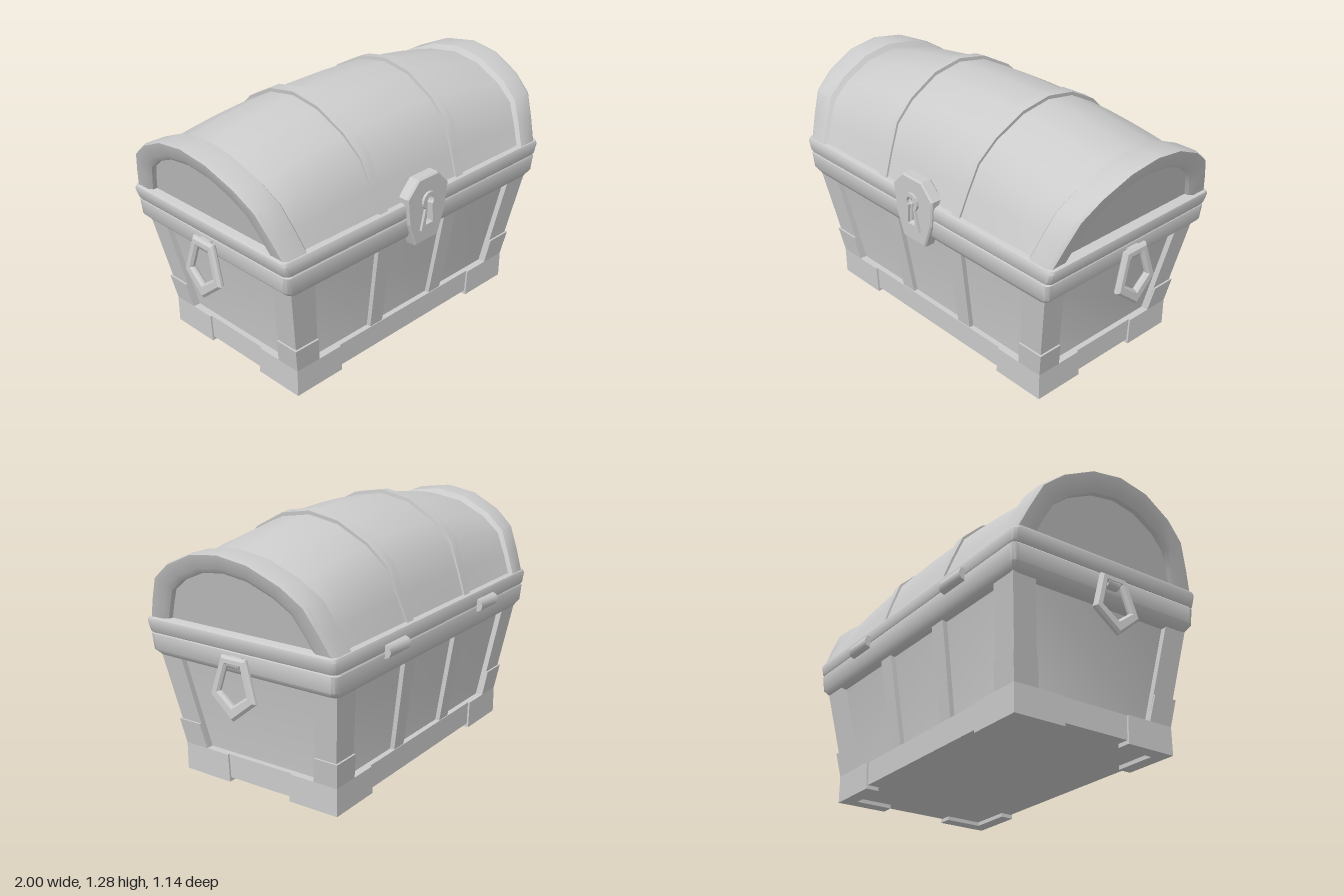
import * as THREE from 'three';
import { toCreasedNormals } from 'three/addons/utils/BufferGeometryUtils.js';

const material = new THREE.MeshStandardMaterial({ color: 0xcccccc });

function add(parent, name, geometry) {
  const mesh = new THREE.Mesh(geometry, material);
  mesh.name = name;
  parent.add(mesh);
  return mesh;
}

// Skin a list of equally long cross-sections
function loft(sections, closed) {
  const n = sections[0].length, pos = [], idx = [];
  sections.forEach(s => s.forEach(p => pos.push(...p)));
  for (let i = 0; i < sections.length - 1; i++) {
    for (let j = 0; j < (closed ? n : n - 1); j++) {
      const a = i * n + j, d = i * n + (j + 1) % n;
      idx.push(a, a + n, d + n, a, d + n, d);
    }
  }
  const g = new THREE.BufferGeometry();
  g.setAttribute('position', new THREE.Float32BufferAttribute(pos, 3));
  g.setIndex(idx);
  return toCreasedNormals(g, 0.75);
}

// Horizontal rounded rectangle at height y
function ring([y, hx, hz], radius) {
  const r = Math.min(radius, hx, hz), pts = [];
  [[1, 1], [-1, 1], [-1, -1], [1, -1]].forEach(([sx, sz], k) => {
    for (let m = 0; m < 4; m++) {
      const a = (k + m / 3) * Math.PI / 2;
      pts.push([sx * (hx - r) + r * Math.cos(a), y, sz * (hz - r) + r * Math.sin(a)]);
    }
  });
  return pts;
}

const rings = (list, radius) => loft(list.map(l => ring(l, radius)), true);
const shapeOf = pts => new THREE.Shape(pts.map(p => new THREE.Vector2(...p)));
const mirrored = half => [...half, ...half.filter(p => p[0] !== 0).reverse().map(([x, y]) => [-x, y])];

// Half width and half depth of the tapered body at height y
const halfX = y => 0.75 + 0.1875 * Math.max(0, y - 0.14);
const halfZ = y => 0.44 + 0.146 * Math.max(0, y - 0.14);

// Board lying on one sloping wall of the body
function board(parent, name, pts, half, out, thick, turn) {
  const g = new THREE.ExtrudeGeometry(shapeOf(pts), { depth: thick, bevelEnabled: false });
  const p = g.attributes.position;
  for (let i = 0; i < p.count; i++) p.setZ(i, p.getZ(i) - thick + half(p.getY(i)) + out);
  g.rotateY(turn);
  g.computeVertexNormals();
  add(parent, name, g);
}

function buildBody() {
  const body = new THREE.Group();
  body.name = 'body';
  const inset = 0.028;
  add(body, 'panels', rings([[0.02, 0, 0], ...[0.02, 0.14, 0.64].map(y => [y, halfX(y) - inset, halfZ(y) - inset])], 0.005));

  for (let w = 0; w < 4; w++) {
    const front = w % 2 === 0, turn = w * Math.PI / 2;
    const half = front ? halfZ : halfX, edge = front ? halfX : halfZ;
    const [foot, low, mid, top] = front ? [0.47, 0.62, 0.64, 0.70] : [0.18, 0.32, 0.34, 0.39];
    const e = edge(0);
    board(body, 'bottomRail', [[-e, 0.02], [e, 0.02], [e, 0.14], [-e, 0.14]], half, 0, 0.05, turn);
    for (const s of [-1, 1]) {
      const put = (name, pts, out, thick) =>
        board(body, name, pts.map(([u, y]) => [u * s, y]), half, out, thick, turn);
      put('cornerPost', [[low, 0.14], [edge(0.14), 0.14], [edge(0.64), 0.64], [top, 0.64]], 0, 0.05);
      put('foot', [[foot, 0], [e + 0.01, 0], [e + 0.01, 0.14], [foot + 0.008, 0.14]], 0.01, 0.07);
      put('footGuard', [[low, 0.14], [e + 0.01, 0.14], [edge(0.27) + 0.01, 0.27], [mid, 0.27]], 0.01, 0.05);
      if (front) put('rib', [[0.175, 0.14], [0.26, 0.14], [0.285, 0.64], [0.19, 0.64]], -0.004, 0.04);
    }
  }
  add(body, 'lowerRim', rings([[0.605, 0, 0], [0.605, 0.83, 0.495], [0.615, 0.85, 0.517], [0.645, 0.878, 0.535],
    [0.725, 0.885, 0.54], [0.732, 0.88, 0.535], [0.732, 0, 0]], 0.03));
  return body;
}

// Arched lid: profile of depth z and relative height, fanning outwards with height
const halfArch = [[0.515, 0], [0.47, 0.27], [0.415, 0.56], [0.316, 0.76], [0.16, 0.94], [0, 1]];
const arch = mirrored(halfArch);
arch.splice(0, arch.length, ...halfArch, ...halfArch.slice(0, -1).reverse().map(([z, t]) => [-z, t]));
const crown = s => 1.275 - 0.14 * s * s;

function lidSection([s, depth, height]) {
  return arch.map(([z, t]) => {
    const y = 0.8 + (height - 0.8) * t;
    return [s * (0.885 + 0.115 * (y - 0.8) / 0.4), y, z * depth];
  });
}

function buildLid() {
  const lid = new THREE.Group();
  lid.name = 'lid';
  const skin = [];
  for (let i = -6; i <= 6; i++) skin.push([i * 0.145, 1, crown(i * 0.145)]);
  add(lid, 'lidShell', loft(skin.map(lidSection), false));

  // Straps over the lid
  for (const c of [-0.305, 0.305]) {
    const a = c - 0.03, b = c + 0.03;
    add(lid, 'strap', loft([[a, 0.99, crown(a) - 0.01], [a, 1.02, crown(a) + 0.018],
      [b, 1.02, crown(b) + 0.018], [b, 0.99, crown(b) - 0.01]].map(lidSection), false));
  }

  // End arches with sunken panels
  const end = [[0.84, 0.99, 1.165], [0.86, 1.035, 1.2], [0.975, 1.035, 1.203], [1, 1.005, 1.198],
    [1, 0.86, 1.135], [0.985, 0.815, 1.11], [0.96, 0.81, 1.108], [0.96, 0, 0.8]];
  add(lid, 'endArch', loft(end.map(lidSection), false));
  add(lid, 'endArch', loft(end.map(([s, d, h]) => [-s, d, h]).reverse().map(lidSection), false));

  add(lid, 'upperRim', rings([[0.732, 0, 0], [0.732, 0.885, 0.535], [0.74, 0.89, 0.54], [0.79, 0.905, 0.542],
    [0.805, 0.902, 0.535], [0.812, 0.885, 0.515], [0.812, 0, 0]], 0.03));
  return lid;
}

// Round-headed keyhole outline
function keyhole(r, w, yTop, yBottom) {
  const pts = [[w, yBottom]];
  for (let i = 0; i <= 12; i++) {
    const a = -0.9 + i / 12 * (Math.PI + 1.8);
    pts.push([r * Math.cos(a), yTop + r * Math.sin(a)]);
  }
  pts.push([-w, yBottom]);
  return pts;
}

function buildLock() {
  const lock = new THREE.Group();
  lock.name = 'lock';
  const hole = keyhole(0.028, 0.026, 0.79, 0.67);
  const plate = shapeOf(mirrored([[0.075, 0.578], [0.122, 0.70], [0.138, 0.835], [0.065, 0.908]]));
  const surround = shapeOf(keyhole(0.047, 0.055, 0.79, 0.645));
  for (const s of [plate, surround]) s.holes.push(new THREE.Path(hole.map(p => new THREE.Vector2(...p))));
  const bevel = { bevelThickness: 0.008, bevelSize: 0.007, bevelOffset: 0, bevelSegments: 1 };
  add(lock, 'lockPlate', new THREE.ExtrudeGeometry(plate, { depth: 0.049, ...bevel })).position.z = 0.498;
  add(lock, 'keyholeSurround', new THREE.ExtrudeGeometry(surround, { depth: 0.018, bevelEnabled: false })).position.z = 0.55;
  return lock;
}

function buildHandle(side) {
  const handle = new THREE.Group();
  handle.name = side > 0 ? 'leftHandle' : 'rightHandle';
  const bracket = add(handle, 'handleBracket',
    toCreasedNormals(new THREE.CylinderGeometry(0.03, 0.03, 0.068, 8).rotateX(Math.PI / 2), 0.8));
  bracket.position.set(side * 0.893, 0.685, 0);
  // Pointed drop ring with bevelled edges
  const drop = shapeOf(mirrored([[0, -0.267], [0.118, -0.17], [0.062, 0.008]]));
  drop.holes.push(new THREE.Path(mirrored([[0, -0.222], [0.09, -0.155], [0.047, -0.012]]).map(p => new THREE.Vector2(...p))));
  const g = new THREE.ExtrudeGeometry(drop, { depth: 0.012, bevelThickness: 0.012, bevelSize: 0.011, bevelSegments: 1 });
  g.translate(0, 0, -0.006).rotateY(Math.PI / 2);
  const ringMesh = add(handle, 'handleRing', g);
  ringMesh.position.set(side * 0.906, 0.697, 0);
  ringMesh.rotation.z = side * 0.06;
  return handle;
}

export function createModel() {
  const chest = new THREE.Group();
  chest.name = 'chest';
  chest.add(buildBody(), buildLid(), buildLock(), buildHandle(1), buildHandle(-1));
  // Hinge barrels on the back
  for (const x of [-0.43, 0.43]) {
    const hinge = add(chest, 'hinge',
      toCreasedNormals(new THREE.CylinderGeometry(0.034, 0.034, 0.17, 8).rotateZ(Math.PI / 2), 0.8));
    hinge.position.set(x, 0.735, -0.538);
  }
  return chest;
}
